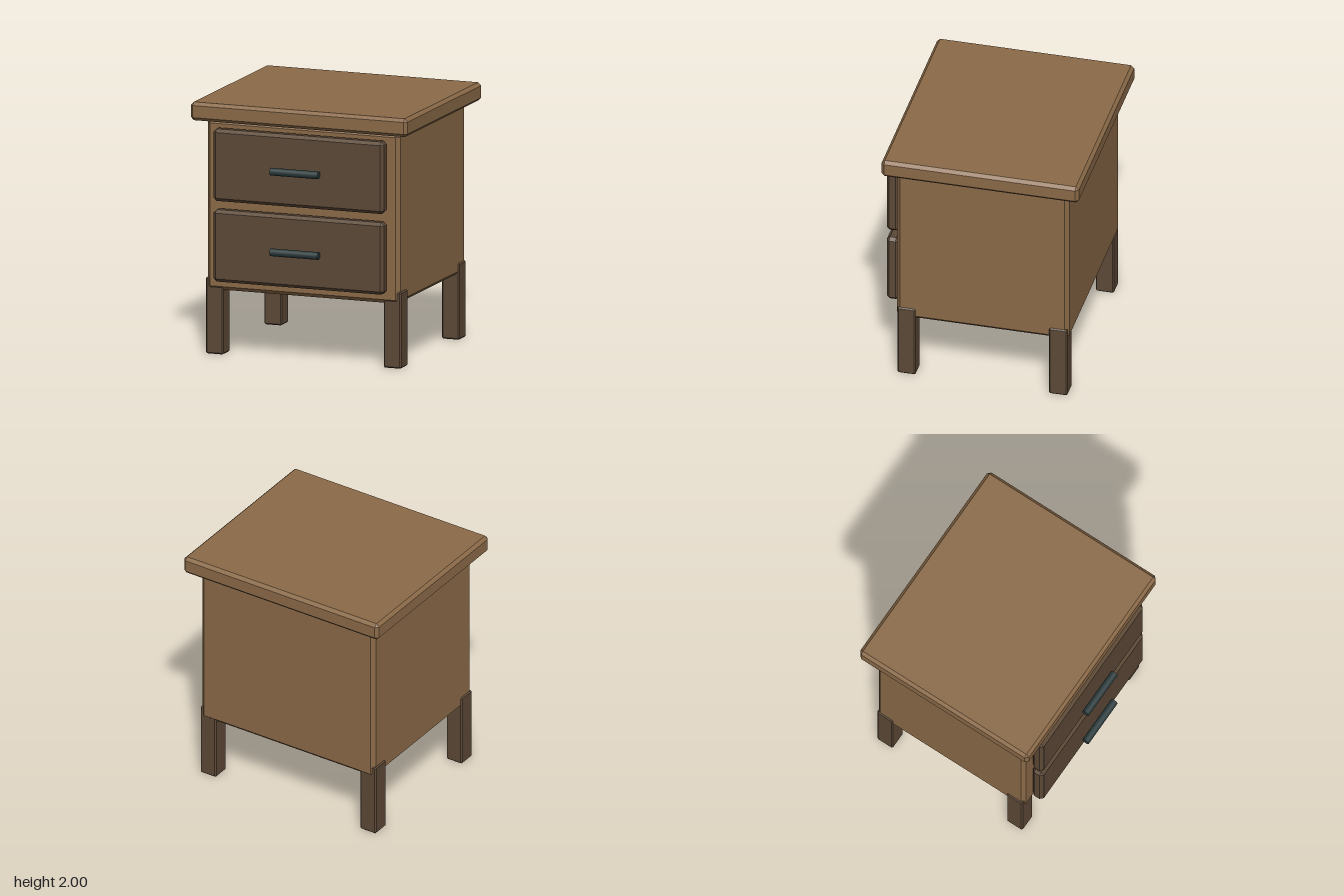
import * as THREE from 'three';
import { ConvexGeometry } from 'three/addons/geometries/ConvexGeometry.js';

const material = (name, color) => {
  const m = new THREE.MeshStandardMaterial({ color });
  m.name = name;
  return m;
};

// Box with flat chamfered edges, given by its x, y and z ranges
function chamferBox(name, [x0, x1], [y0, y1], [z0, z1], bevel, mat) {
  const half = [(x1 - x0) / 2, (y1 - y0) / 2, (z1 - z0) / 2];
  const points = [];
  for (const sx of [-1, 1]) for (const sy of [-1, 1]) for (const sz of [-1, 1]) {
    const signs = [sx, sy, sz];
    // each corner becomes three points, one on each adjoining face
    for (let face = 0; face < 3; face++) {
      points.push(new THREE.Vector3(...half.map((h, i) => signs[i] * (i === face ? h : h - bevel))));
    }
  }
  const mesh = new THREE.Mesh(new ConvexGeometry(points), mat);
  mesh.position.set((x0 + x1) / 2, (y0 + y1) / 2, (z0 + z1) / 2);
  mesh.name = name;
  return mesh;
}

export function createModel() {
  const model = new THREE.Group();
  model.name = 'nightstand';
  const wood = material('wood', 0x8b6a48);
  const darkWood = material('dark wood', 0x5d4937);
  const metal = material('dark metal', 0x2c3b3d);

  // Cabinet and overhanging top
  model.add(chamferBox('body', [-0.805, 0.805], [0.51, 1.858], [-0.733, 0.643], 0.03, wood));
  model.add(chamferBox('tabletop', [-0.905, 0.905], [1.855, 2], [-0.836, 0.74], 0.025, wood));

  // Two drawers, each with a floating bar handle
  for (const [name, y] of [['lower', 0.88], ['upper', 1.518]]) {
    const drawer = new THREE.Group();
    drawer.name = name + 'Drawer';
    drawer.add(chamferBox('drawerFront', [-0.712, 0.712], [y - 0.285, y + 0.285], [0.648, 0.748], 0.025, darkWood));
    const handle = new THREE.Mesh(new THREE.CylinderGeometry(0.03, 0.03, 0.4, 24), metal);
    handle.name = 'handle';
    handle.rotation.z = Math.PI / 2;
    handle.position.set(0, y, 0.81);
    drawer.add(handle);
    model.add(drawer);
  }

  // Four legs wrapping the lower corners
  for (const [side, x] of [['Right', -0.742], ['Left', 0.742]]) {
    for (const [end, z] of [['front', 0.56], ['back', -0.652]]) {
      model.add(chamferBox(end + side + 'Leg', [x - 0.073, x + 0.073], [0, 0.605], [z - 0.073, z + 0.073], 0.01, darkWood));
    }
  }
  return model;
}
